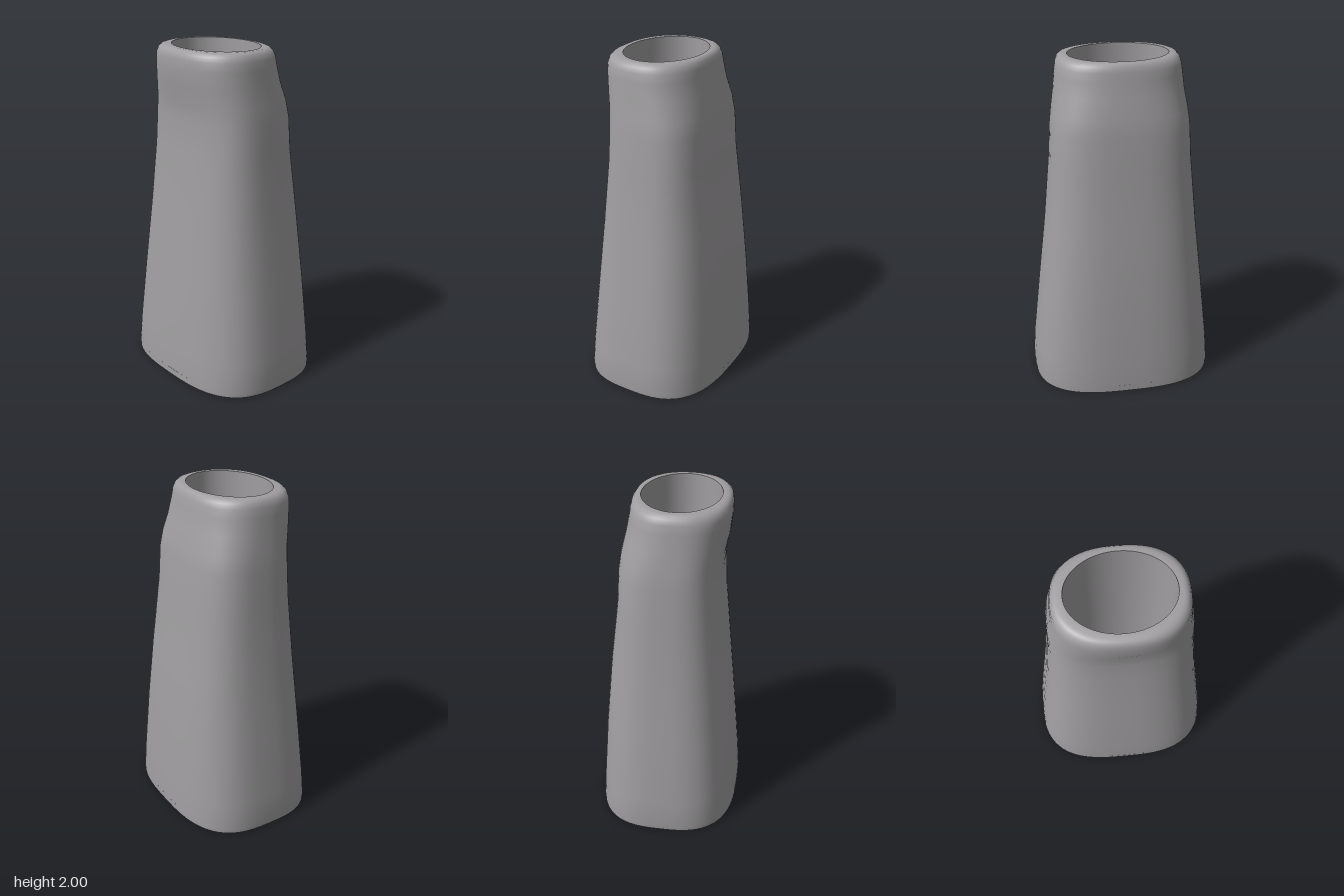
import * as THREE from 'three';
import { toCreasedNormals } from 'three/addons/utils/BufferGeometryUtils.js';

const SEGMENTS = 80;

// Point on a rounded-rectangle-like ring; power 2 is an ellipse
function ringPoint(halfX, front, back, power, t) {
  const c = Math.cos(t), s = Math.sin(t), e = 2 / power;
  const mid = (front + back) / 2, halfZ = (front - back) / 2;
  return [
    halfX * Math.sign(c) * Math.abs(c) ** e,
    mid + halfZ * Math.sign(s) * Math.abs(s) ** e,
  ];
}

// Joins rings [y, halfX, front z, back z, power] into a surface, facing outward as y rises
function loft(rings) {
  const positions = [], index = [];
  for (const [y, halfX, front, back, power] of rings) {
    for (let i = 0; i < SEGMENTS; i++) {
      const [x, z] = ringPoint(halfX, front, back, power, (i / SEGMENTS) * Math.PI * 2);
      positions.push(x, y, z);
    }
  }
  for (let r = 0; r < rings.length - 1; r++) {
    for (let i = 0; i < SEGMENTS; i++) {
      const j = (i + 1) % SEGMENTS;
      const a = r * SEGMENTS + i, b = r * SEGMENTS + j;
      index.push(a, a + SEGMENTS, b, b, a + SEGMENTS, b + SEGMENTS);
    }
  }
  const geometry = new THREE.BufferGeometry();
  geometry.setAttribute('position', new THREE.Float32BufferAttribute(positions, 3));
  geometry.setIndex(index);
  return toCreasedNormals(geometry, 0.8);
}

export function createModel() {
  const group = new THREE.Group();
  const gray = new THREE.MeshStandardMaterial({ color: 0xa09ea0 });
  gray.name = 'gray';

  const add = (name, geometry) => {
    const mesh = new THREE.Mesh(geometry, gray);
    mesh.name = name;
    group.add(mesh);
    return mesh;
  };

  // Tapered outer wall, leaning forward at the neck, then the rounded lip
  add('outerShell', loft([
    [0, 0.557, 0.432, -0.43, 2.9],
    [0.03, 0.56, 0.432, -0.43, 2.9],
    [0.2, 0.547, 0.42, -0.42, 2.9],
    [0.6, 0.502, 0.385, -0.392, 2.9],
    [1.0, 0.455, 0.347, -0.355, 2.9],
    [1.4, 0.417, 0.31, -0.307, 2.9],
    [1.6, 0.405, 0.3, -0.295, 2.9],
    [1.7, 0.393, 0.305, -0.28, 2.8],
    [1.8, 0.377, 0.325, -0.256, 2.6],
    [1.9, 0.367, 0.335, -0.236, 2.5],
    [1.95, 0.36, 0.334, -0.228, 2.5],
    [1.98, 0.35, 0.328, -0.22, 2.4],
    [1.995, 0.335, 0.315, -0.208, 2.3],
    [2.0, 0.32, 0.3, -0.197, 2.2],
    [2.0, 0.292, 0.273, -0.177, 2],
  ]));

  // Straight oval cavity
  add('cavityWall', loft([
    [2.0, 0.292, 0.273, -0.177, 2],
    [1.0, 0.292, 0.273, -0.177, 2],
    [0.04, 0.292, 0.273, -0.177, 2],
  ]));

  // Floor plate with two round holes
  const outline = [];
  for (let i = 0; i < SEGMENTS; i++) {
    const [x, z] = ringPoint(0.557, 0.432, -0.43, 2.9, (i / SEGMENTS) * Math.PI * 2);
    outline.push(new THREE.Vector2(x, -z));
  }
  const shape = new THREE.Shape(outline);
  for (const side of [-1, 1]) {
    shape.holes.push(new THREE.Path().absarc(side * 0.223, 0, 0.074, 0, Math.PI * 2, true));
  }
  const floor = new THREE.ExtrudeGeometry(shape, { depth: 0.04, bevelEnabled: false, curveSegments: 32 });
  floor.rotateX(-Math.PI / 2);
  floor.scale(0.999, 1, 0.999);
  add('floor', floor);

  return group;
}
